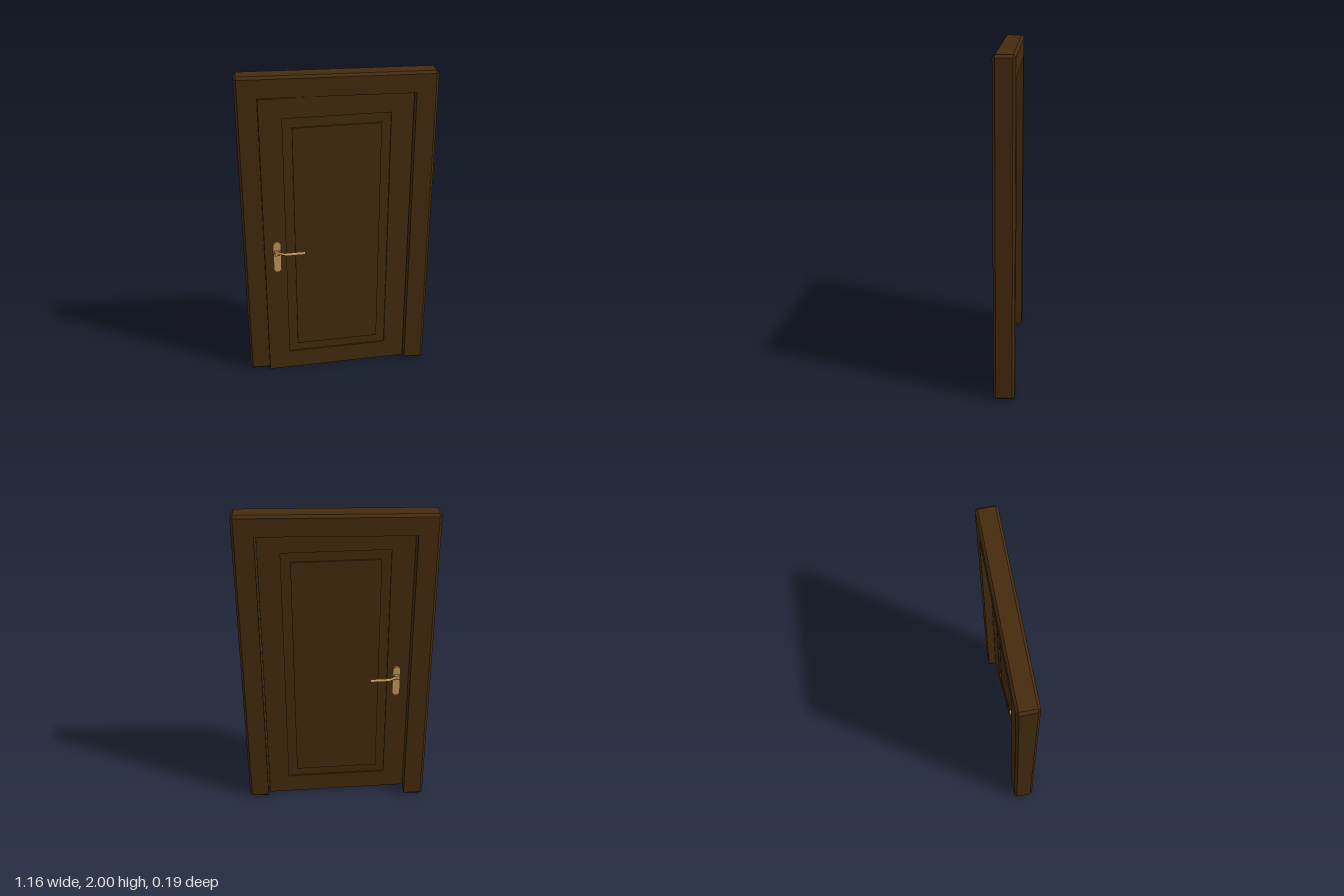
import * as THREE from 'three';

const wood = new THREE.MeshStandardMaterial({ color: 0x452c0f });
wood.name = 'darkWood';
const brass = new THREE.MeshStandardMaterial({ color: 0xc8995c });
brass.name = 'brass';

const W = 0.58, H = 2, C = 0.015;            // frame half width, height, chamfer
const OPEN_X = 0.454, OPEN_Y = 1.876;        // door opening
const Z_LEVELS = [-0.095, -0.08, 0.015, 0.03];
const T = 0.035, GROOVE = 0.01;              // leaf thickness, moulding groove depth

const vectors = (points) => points.map(([x, y]) => new THREE.Vector2(x, y));

function addMesh(parent, name, geometry, material, x = 0, y = 0, z = 0) {
  const mesh = new THREE.Mesh(geometry, material);
  mesh.name = name;
  mesh.position.set(x, y, z);
  parent.add(mesh);
  return mesh;
}

// U-shaped surround with chamfered outer edges
function frameGeometry() {
  const shape = new THREE.Shape(vectors([
    [OPEN_X, 0], [W - C, 0], [W, C], [W, H - C], [W - C, H],
    [C - W, H], [-W, H - C], [-W, C], [C - W, 0], [-OPEN_X, 0],
    [-OPEN_X, OPEN_Y], [OPEN_X, OPEN_Y],
  ]));
  const geo = new THREE.ExtrudeGeometry(shape, { depth: 3, steps: 3, bevelEnabled: false });
  const pos = geo.attributes.position;
  for (let i = 0; i < pos.count; i++) {
    const level = Math.round(pos.getZ(i));
    const inset = level === 0 || level === 3 ? C : 0;
    pos.setXYZ(i,
      THREE.MathUtils.clamp(pos.getX(i), inset - W, W - inset),
      THREE.MathUtils.clamp(pos.getY(i), inset, H - inset),
      Z_LEVELS[level]);
  }
  geo.computeVertexNormals();
  return geo;
}

// Rectangle corners, anticlockwise
const rect = (x0, y0, x1, y1) => vectors([[x0, y0], [x1, y0], [x1, y1], [x0, y1]]);

// Flat shape extruded from z = 0
const slab = (shape, depth) => new THREE.ExtrudeGeometry(shape, { depth, bevelEnabled: false });

// Round bar between two points
function addBar(parent, name, a, b, radius) {
  const start = new THREE.Vector3(...a), end = new THREE.Vector3(...b);
  const dir = end.clone().sub(start);
  const bar = addMesh(parent, name, new THREE.CylinderGeometry(radius, radius, dir.length(), 10), brass);
  bar.position.copy(start).add(end).multiplyScalar(0.5);
  bar.quaternion.setFromUnitVectors(new THREE.Vector3(0, 1, 0), dir.normalize());
}

// Handle on one face; side is +1 for the front and -1 for the back
function makeHandle(side) {
  const handle = new THREE.Group();
  handle.name = side > 0 ? 'frontHandle' : 'backHandle';
  const plate = new THREE.Shape(vectors([
    [-0.01, -0.14], [0.01, -0.14], [0.024, -0.122], [0.024, 0.052],
    [0.01, 0.07], [-0.01, 0.07], [-0.024, 0.052], [-0.024, -0.122],
  ]));
  addMesh(handle, 'handlePlate', slab(plate, 0.012), brass, 0, 0, side > 0 ? 0 : -0.012);
  addMesh(handle, 'handleBoss', new THREE.BoxGeometry(0.032, 0.032, 0.02), brass, 0, 0, side * 0.018);
  addBar(handle, 'handleArm', [0.004, 0, side * 0.022], [0.05, 0, side * 0.047], 0.008);
  addBar(handle, 'handleLever', [0.046, 0, side * 0.047], [0.17, 0, side * 0.047], 0.0095);
  handle.position.set(-0.827, 0.895, side * T / 2);
  return handle;
}

export function createModel() {
  const model = new THREE.Group();
  model.name = 'door';
  addMesh(model, 'doorFrame', frameGeometry(), wood);

  // Leaf hinged on the left jamb, standing slightly ajar
  const leaf = new THREE.Group();
  leaf.name = 'doorLeaf';
  leaf.position.set(0.448, 0, -0.03);
  leaf.rotation.y = 0.061;
  model.add(leaf);

  const border = new THREE.Shape(rect(-0.903, 0, 0, 1.874));
  border.holes.push(new THREE.Path(rect(-0.768, 0.128, -0.132, 1.754).reverse()));
  addMesh(leaf, 'leafBorder', slab(border, T), wood, 0, 0, -T / 2);

  // Moulding groove floor and raised centre panel
  addMesh(leaf, 'grooveFloor', new THREE.BoxGeometry(0.636, 1.626, T - 2 * GROOVE), wood, -0.45, 0.941, 0);
  addMesh(leaf, 'centrePanel', new THREE.BoxGeometry(0.526, 1.506, T), wood, -0.45, 0.941, 0);

  for (const side of [1, -1]) leaf.add(makeHandle(side));
  return model;
}
